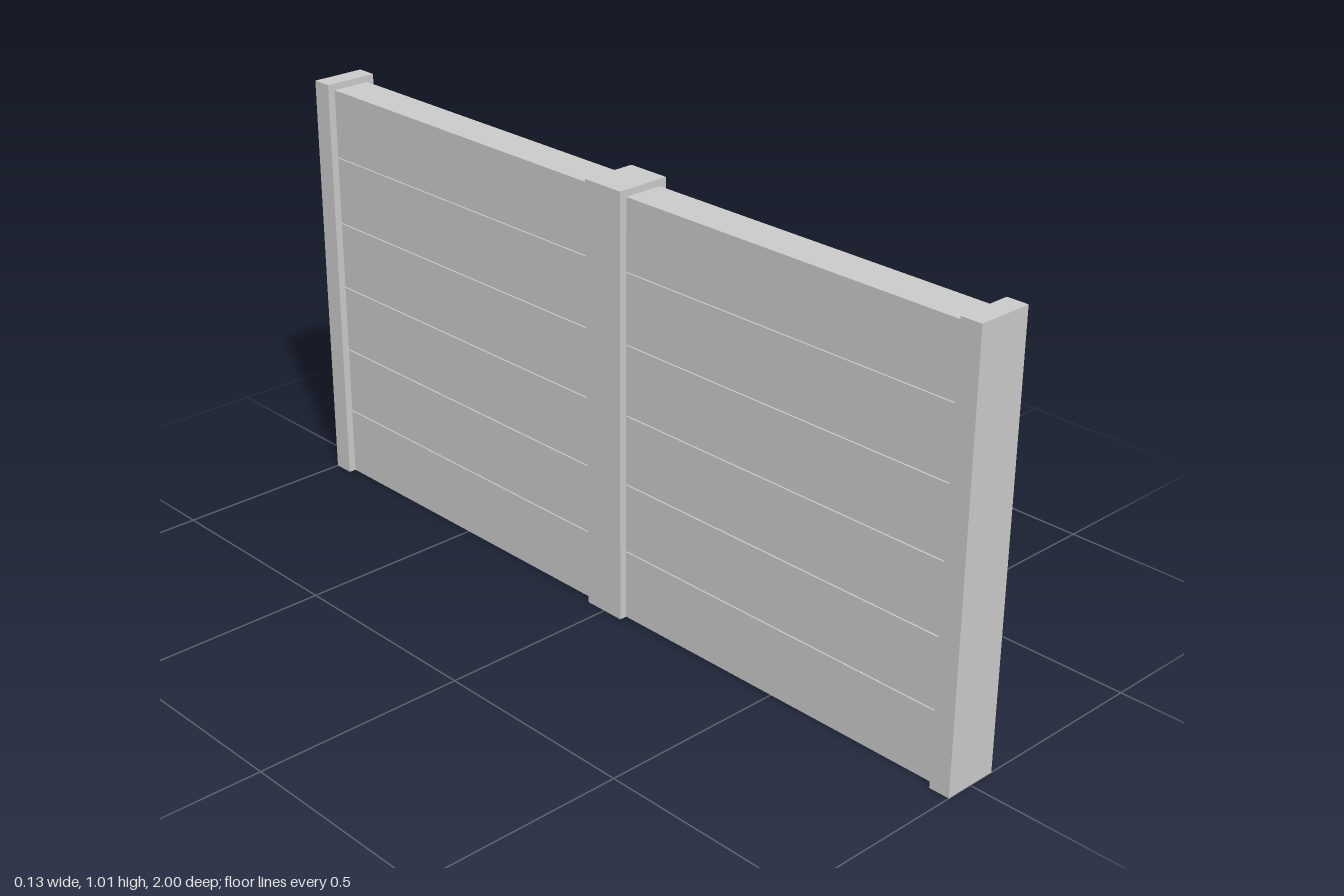
import * as THREE from 'three';

const HEIGHT = 0.997, POST_HEIGHT = 1.013;
const PLANKS = 6, GROOVE = 0.003, DEPTH = 0.004;
const PANEL_HALF = 0.048, POST_WIDTH = 0.132;

export function createModel() {
  const model = new THREE.Group();
  const material = new THREE.MeshStandardMaterial({ color: 0xcccccc, flatShading: true });

  // Posts: a wide one in the middle and a slim one at each end
  const addPost = (name, z, depth) => {
    const post = new THREE.Mesh(new THREE.BoxGeometry(POST_WIDTH, POST_HEIGHT, depth), material);
    post.name = name;
    post.position.set(0, POST_HEIGHT / 2, z);
    model.add(post);
  };
  addPost('frontPost', 0.975, 0.05);
  addPost('middlePost', 0, 0.106);
  addPost('backPost', -0.975, 0.05);

  // Outline of a bay: stacked planks parted by narrow, shallow grooves on both faces
  const side = [[PANEL_HALF, 0]];
  for (let i = 1; i < PLANKS; i++) {
    const y = (HEIGHT * i) / PLANKS, g = GROOVE / 2;
    side.push([PANEL_HALF, y - g], [PANEL_HALF - DEPTH, y - g],
      [PANEL_HALF - DEPTH, y + g], [PANEL_HALF, y + g]);
  }
  side.push([PANEL_HALF, HEIGHT]);
  const outline = [...side, ...side.map(([x, y]) => [-x, y]).reverse()];
  const shape = new THREE.Shape(outline.map(([x, y]) => new THREE.Vector2(x, y)));

  // Plank bays between the posts
  const length = 0.95 - 0.053;
  const bay = new THREE.ExtrudeGeometry(shape, { depth: length, bevelEnabled: false });
  for (const [name, z] of [['frontPlanks', 0.053], ['backPlanks', -0.95]]) {
    const planks = new THREE.Mesh(bay, material);
    planks.name = name;
    planks.position.z = z;
    model.add(planks);
  }
  return model;
}
